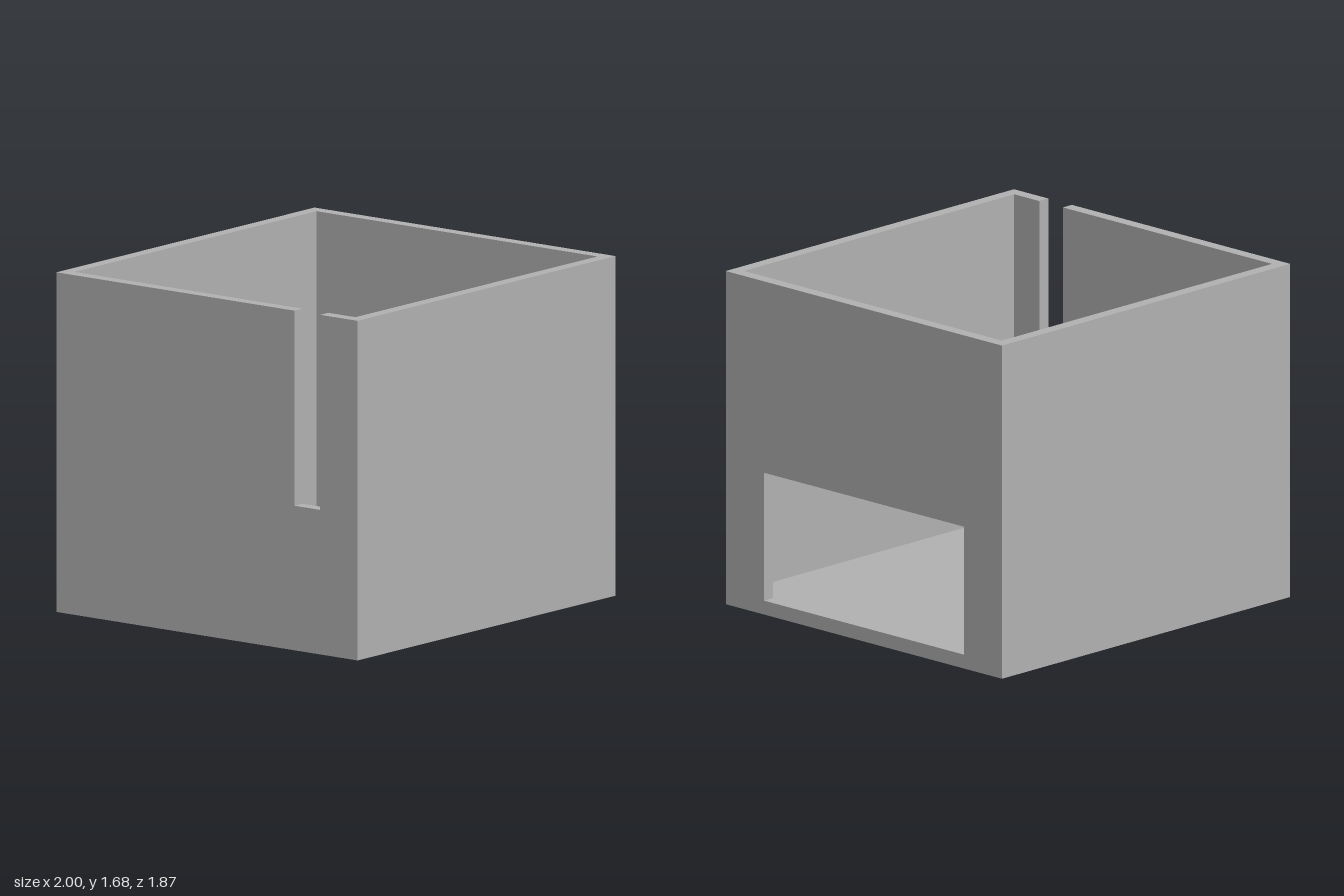
import * as THREE from 'three';

const W = 2, H = 1.68, D = 1.87;   // outer size
const T = 0.0625, FLOOR = 0.07;    // wall and floor thickness
const OPENING_TOP = 0.715;

export function createModel() {
  const model = new THREE.Group();
  model.name = 'openBox';

  const grey = new THREE.MeshStandardMaterial({ color: 0xb3b3b3 });
  grey.name = 'grey';

  const add = (name, geometry, x, y, z) => {
    const mesh = new THREE.Mesh(geometry, grey);
    mesh.name = name;
    mesh.position.set(x, y, z);
    model.add(mesh);
  };

  // Block given by its lower and upper corners
  const block = (name, [x0, y0, z0], [x1, y1, z1]) =>
    add(name, new THREE.BoxGeometry(x1 - x0, y1 - y0, z1 - z0),
      (x0 + x1) / 2, (y0 + y1) / 2, (z0 + z1) / 2);

  // Side wall from a (z, y) outline, outerX being its larger x
  const sideWall = (name, points, hole, outerX) => {
    const toVectors = (list) => list.map(([z, y]) => new THREE.Vector2(z, y));
    const shape = new THREE.Shape(toVectors(points));
    if (hole) shape.holes.push(new THREE.Path(toVectors(hole)));
    const geometry = new THREE.ExtrudeGeometry(shape, { depth: T, bevelEnabled: false });
    geometry.rotateY(-Math.PI / 2);
    add(name, geometry, outerX, 0, 0);
  };

  const x = W / 2, z = D / 2, inX = x - T, inZ = z - T;

  // Floor, front and back
  block('floor', [-inX, 0, -inZ], [inX, FLOOR, inZ]);
  block('frontWall', [-inX, 0, inZ], [inX, H, z]);
  block('backWall', [-inX, 0, -z], [inX, H, -inZ]);

  // Left wall with a wide opening flush with the floor
  sideWall('leftWall',
    [[-z, 0], [z, 0], [z, H], [-z, H]],
    [[-0.677, FLOOR], [-0.677, OPENING_TOP], [0.677, OPENING_TOP], [0.677, FLOOR]], x);

  // Right wall with a narrow slot cut down from the rim
  sideWall('rightWall',
    [[-z, 0], [z, 0], [z, H], [0.703, H], [0.703, OPENING_TOP],
      [0.543, OPENING_TOP], [0.543, H], [-z, H]], null, -inX);

  // Block standing against the inside of the right wall
  block('innerBlock', [-inX, FLOOR, -0.55], [-0.78, 0.75, 0.06]);

  return model;
}
